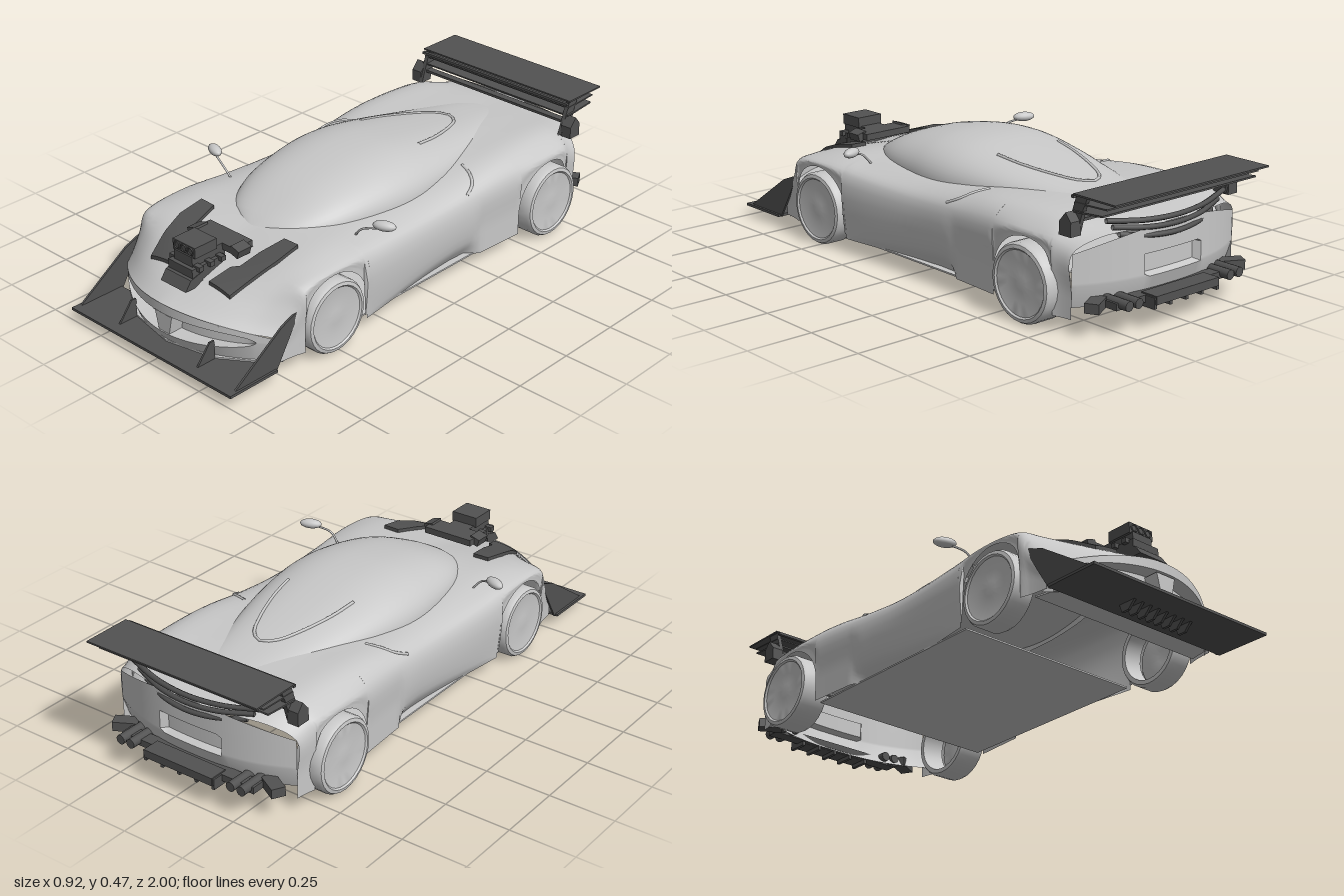
import * as THREE from 'three';
import { toCreasedNormals } from 'three/addons/utils/BufferGeometryUtils.js';

const bodyPaint = new THREE.MeshStandardMaterial({ color: 0xc8c8c8, side: THREE.DoubleSide });
bodyPaint.name = 'body grey';
const darkTrim = new THREE.MeshStandardMaterial({ color: 0x525252, side: THREE.DoubleSide });
darkTrim.name = 'dark trim';

const V = (x, y, z) => new THREE.Vector3(x, y, z);
const SIDES = [-1, 1];

// Smooth lookup in a table of [z, a, b, ...] with falling z
function sample(keys, z) {
  let i = 0;
  while (i < keys.length - 2 && z < keys[i + 1][0]) i++;
  const at = (k) => keys[Math.min(Math.max(k, 0), keys.length - 1)];
  const [p, a, b, n] = [at(i - 1), at(i), at(i + 1), at(i + 2)];
  const h = b[0] - a[0];
  const t = Math.min(Math.max((z - a[0]) / h, 0), 1);
  return a.slice(1).map((v, j) => {
    const m0 = h * (b[j + 1] - p[j + 1]) / (b[0] - p[0]);
    const m1 = h * (n[j + 1] - v) / (n[0] - a[0]);
    const t2 = t * t, t3 = t2 * t;
    return (2 * t3 - 3 * t2 + 1) * v + (t3 - 2 * t2 + t) * m0 + (3 * t2 - 2 * t3) * b[j + 1] + (t3 - t2) * m1;
  });
}

// Skin a list of equal-length point rows
function loft(rows, crease = 0) {
  const n = rows[0].length, index = [];
  for (let i = 0; i < rows.length - 1; i++) {
    for (let j = 0; j < n - 1; j++) {
      const a = i * n + j, b = a + n;
      index.push(a, b, a + 1, b, b + 1, a + 1);
    }
  }
  const g = new THREE.BufferGeometry().setFromPoints(rows.flat());
  g.setIndex(index);
  g.computeVertexNormals();
  return crease ? toCreasedNormals(g, crease) : g;
}

const mirrorRow = (half) => [...half, ...half.slice(0, -1).reverse().map((p) => V(-p.x, p.y, p.z))];
const smooth = THREE.MathUtils.smoothstep;

// Rounded plan shape of nose and tail
const noseBack = (x) => 1.2 * x * x;
const tailBack = (x) => 0.1 * Math.pow(Math.abs(x) / 0.4, 2.5);
const noseFade = (z) => smooth(z, 0.6, 0.93);

const WHEELS = [{ z: 0.513, r: 0.137, out: 0.42 }, { z: -0.636, r: 0.14, out: 0.44 }];
const ARCH = 0.162;

// z, half width, side edge height, crown x, crown height, centre height
const BODY = [
  [0.93, 0.38, 0.145, 0.30, 0.168, 0.205], [0.85, 0.388, 0.22, 0.30, 0.232, 0.245],
  [0.75, 0.395, 0.272, 0.31, 0.285, 0.28], [0.6, 0.403, 0.308, 0.32, 0.328, 0.318],
  [0.45, 0.405, 0.314, 0.32, 0.345, 0.35], [0.3, 0.40, 0.30, 0.32, 0.338, 0.36],
  [0, 0.388, 0.29, 0.33, 0.332, 0.36], [-0.2, 0.392, 0.298, 0.34, 0.342, 0.37],
  [-0.4, 0.402, 0.31, 0.345, 0.365, 0.375], [-0.6, 0.412, 0.316, 0.335, 0.372, 0.375],
  [-0.78, 0.402, 0.31, 0.32, 0.36, 0.362], [-0.92, 0.385, 0.28, 0.30, 0.33, 0.345],
];
// z, half width, base height, top height
const CANOPY = [
  [0.515, 0.02, 0.325, 0.335], [0.49, 0.09, 0.325, 0.352], [0.45, 0.155, 0.325, 0.373], [0.35, 0.222, 0.325, 0.417],
  [0.25, 0.257, 0.325, 0.447], [0.1, 0.283, 0.325, 0.472], [0, 0.29, 0.325, 0.477], [-0.1, 0.285, 0.325, 0.472],
  [-0.25, 0.26, 0.33, 0.448], [-0.4, 0.22, 0.335, 0.42], [-0.55, 0.17, 0.345, 0.393], [-0.7, 0.12, 0.35, 0.373],
  [-0.8, 0.06, 0.345, 0.356],
];

// Half a cross-section, from the sill up to the centre line
function bodyHalf(z, archZ) {
  const [w, yE, xS, yS, yC] = sample(BODY, z);
  const yb = archZ === undefined ? 0.058 : 0.14 + Math.sqrt(Math.max(0, ARCH ** 2 - (z - archZ) ** 2));
  // Tapering skirt recess along the sill
  const skirt = z < 0.36 && z > -0.26 ? Math.min((0.36 - z) / 0.5, 1) : 0;
  const inset = 0.04 * skirt * smooth(z, -0.26, -0.22);
  const y1 = skirt ? 0.075 + 0.055 * skirt : yb + (yE - yb) * 0.4;
  const curve = new THREE.CatmullRomCurve3([
    V(w - inset, yb, 0), V(w, y1, 0), V(w, yE, 0), V(xS, yS, 0), V(xS * 0.52, (yS + yC) / 2 + 0.004, 0), V(0, yC, 0),
  ], false, 'centripetal');
  const half = [];
  for (let i = 0; i <= 25; i++) {
    const p = curve.getPoint(i / 25);
    p.z = z - noseBack(p.x) * noseFade(z) + tailBack(p.x) * smooth(-z, 0.7, 0.92);
    half.push(p);
  }
  return half;
}

// Height of the bonnet or deck surface at a plan position
function deckY(x, z) {
  let station = z;
  for (let i = 0; i < 12; i++) station = z + noseBack(x) * noseFade(station);
  const half = bodyHalf(Math.min(station, 0.93));
  let k = half.length - 2;
  while (k > 0 && half[k].x <= x) k--;
  const a = half[k], b = half[k + 1];
  return a.y + (b.y - a.y) * (a.x - x) / (a.x - b.x);
}

function bodyShell() {
  const rows = [];
  const station = (z, archZ) => rows.push(mirrorRow(bodyHalf(z, archZ)));
  const run = (a, b, n) => { for (let i = 0; i <= n; i++) station(a + (b - a) * i / n); };
  const arch = (c) => { for (let i = 0; i <= 20; i++) station(c + ARCH * Math.cos(Math.PI * i / 20), c); };
  run(0.93, WHEELS[0].z + ARCH, 14);
  arch(WHEELS[0].z);
  run(WHEELS[0].z - ARCH, WHEELS[1].z + ARCH, 32);
  arch(WHEELS[1].z);
  run(WHEELS[1].z - ARCH, -0.92, 6);
  return loft(rows, 0.7);
}

function canopy() {
  const rows = [];
  for (let i = 0; i <= 50; i++) {
    const z = 0.515 - 1.315 * i / 50, [a, b, t] = sample(CANOPY, z), half = [];
    for (let j = 0; j <= 14; j++) {
      const q = Math.PI / 2 * j / 14;
      half.push(V(a * Math.pow(Math.max(0, Math.cos(q)), 0.78), b + (t - b) * Math.pow(Math.sin(q), 0.9), z));
    }
    rows.push(mirrorRow(half));
  }
  return loft(rows);
}

function canopyPoint(x, z) {
  const [a, b, t] = sample(CANOPY, z), c = Math.pow(Math.abs(x) / a, 1 / 0.78);
  return V(x, b + (t - b) * Math.pow(Math.max(0, 1 - c * c), 0.45), z);
}

// Raised bonnet vent that follows the surface: z, outer x, inner x
const VENT = [[0.8, 0.197, 0.097], [0.72, 0.222, 0.118], [0.7, 0.227, 0.145], [0.62, 0.243, 0.155], [0.52, 0.24, 0.175]];
function ventShell(s) {
  const rows = VENT.map(([z, xo, xi]) => {
    const top = [0, 0.33, 0.67, 1].map((k) => {
      const x = xo + (xi - xo) * k;
      return V(s * x, deckY(x, z) + 0.014, z);
    });
    const drop = (p) => V(p.x, p.y - 0.014, z);
    return [drop(top[0]), ...top, drop(top[3])];
  });
  const skirt = (row) => row.map((p, i) => (i % 5 ? V(p.x, p.y - 0.014, p.z) : p));
  return loft([skirt(rows[0]), ...rows, skirt(rows[4])], 0.5);
}

// Crosswise panel: each row is [height(x), depth(x)]
function crossPanel(half, zAt, rows) {
  return loft(rows.map(([y, d]) => Array.from({ length: 41 }, (_, i) => {
    const x = half * (i / 20 - 1);
    return V(x, y(x), zAt(x) + d(x));
  })), 0.6);
}

export function createModel() {
  const car = new THREE.Group();
  car.name = 'raceCar';
  const add = (name, geo, mat = bodyPaint) => {
    const m = new THREE.Mesh(geo, mat);
    m.name = name;
    car.add(m);
    return m;
  };
  const box = (name, w, h, d, x, y, z, mat = darkTrim) => {
    const m = add(name, new THREE.BoxGeometry(w, h, d), mat);
    m.position.set(x, y, z);
    return m;
  };
  const tube = (name, pts, r, mat) => add(name, new THREE.TubeGeometry(new THREE.CatmullRomCurve3(pts), 24, r, 6), mat);
  const extrude = (pts, depth) => new THREE.ExtrudeGeometry(
    new THREE.Shape(pts.map(([u, v]) => new THREE.Vector2(u, v))), { depth, bevelEnabled: false });
  // Upright plate from a (z, y) outline
  const fin = (name, pts, t, x) => {
    add(name, extrude(pts, t).rotateY(-Math.PI / 2).translate(t / 2, 0, 0), darkTrim).position.x = x;
  };

  // Body, canopy and floor
  add('bodyShell', bodyShell());
  add('canopy', canopy());
  box('floor', 0.76, 0.006, 0.83, 0, 0.06, -0.06, bodyPaint);
  const tray = extrude([[-0.37, -0.69], [0.37, -0.69], [0.35, -0.78], [0.2, -0.88], [0, -0.92], [-0.2, -0.88], [-0.35, -0.78]], 0.006);
  add('frontUndertray', tray.rotateX(-Math.PI / 2)).position.y = 0.054;
  const ridge = [[-0.145, -0.2], [-0.13, -0.3], [-0.09, -0.43], [-0.05, -0.51], [0, -0.54]];
  const ridgeAll = [...ridge, ...ridge.slice(0, -1).reverse().map(([x, z]) => [-x, z])];
  tube('roofScoopLip', ridgeAll.map(([x, z]) => canopyPoint(x, z)), 0.006, bodyPaint);

  // Nose with a lens-shaped mouth
  const lens = (x) => Math.sqrt(Math.max(0, 1 - (x / 0.32) ** 2));
  const none = () => 0, deep = (x) => -0.06 * lens(x);
  const upper = (x) => 0.135 + 0.035 * lens(x), lower = (x) => 0.13 - 0.035 * lens(x);
  add('noseFascia', crossPanel(0.38, (x) => 0.93 - noseBack(x), [
    [(x) => 0.207 - 0.06 * (x / 0.38) ** 2, none], [upper, none], [upper, deep], [lower, deep], [lower, none],
    [() => 0.052, () => -0.02],
  ]));
  add('mouthPillar', extrude([[-0.025, 0.09], [0.025, 0.09], [0.042, 0.165], [-0.042, 0.165]], 0.06)).position.z = 0.865;

  // Tail panel with plate recess
  const dent = (x) => (Math.abs(x) < 0.13 ? 0.025 : 0);
  add('tailPanel', crossPanel(0.385, (x) => -0.92 + tailBack(x), [
    [(x) => 0.346 - 0.066 * (x / 0.385) ** 2, none], [() => 0.25, none], [() => 0.24, dent], [() => 0.18, dent],
    [() => 0.17, none], [() => 0.09, () => 0.03],
  ]));

  for (const s of SIDES) {
    // Wheels: smooth dished face, hollow inside
    for (const [i, w] of WHEELS.entries()) {
      const r = w.r, d = w.out - 0.33;
      const pts = [[0.83, 0], [0.95, 0], [1, 0.012], [1, d - 0.015], [0.95, d - 0.003], [0.86, d], [0.82, d - 0.006],
        [0.5, d - 0.012], [0.2, d - 0.01], [0, d - 0.008]];
      const prof = [[0.78, d - 0.02], ...pts].map(([k, y]) => new THREE.Vector2(k * r, y));
      const m = add(i ? 'rearWheel' : 'frontWheel', toCreasedNormals(new THREE.LatheGeometry(prof, 28), 0.6));
      m.rotation.z = -s * Math.PI / 2;
      m.position.set(s * 0.33, w.r + 0.004, w.z);
    }

    // Mirrors
    tube('mirrorStalk', [V(s * 0.3, 0.325, 0.31), V(s * 0.345, 0.375, 0.315), V(s * 0.41, 0.395, 0.295)], 0.004, bodyPaint);
    const mirror = add('mirror', new THREE.SphereGeometry(1, 16, 10));
    mirror.scale.set(0.043, 0.018, 0.022);
    mirror.position.set(s * 0.42, 0.403, 0.285);
    mirror.rotation.y = s * 0.4;

    // Inlet lip on the rear haunch
    const lip = [[0.38, -0.2], [0.36, -0.25], [0.32, -0.28], [0.27, -0.3]];
    tube('sideInletLip', lip.map(([x, z]) => V(s * x, deckY(x, z), z)), 0.006, bodyPaint);

    // Bonnet vents
    add('bonnetVent', ventShell(s), darkTrim);

    // Splitter end plates and stays
    fin('splitterEndPlate', [[0.97, 0.055], [0.755, 0.2], [0.665, 0.235], [0.71, 0.16], [0.78, 0.045]], 0.008, s * 0.39);
    fin('splitterStay', [[0.96, 0.05], [0.9, 0.125], [0.88, 0.125], [0.88, 0.05]], 0.007, s * 0.197);

    // Wing supports
    fin('wingSupport', [[-0.775, 0.345], [-0.82, 0.475], [-0.87, 0.475], [-0.85, 0.43], [-0.825, 0.345]], 0.016, s * 0.35);
    fin('wingMount', [[-0.78, 0.34], [-0.78, 0.385], [-0.81, 0.42], [-0.835, 0.39], [-0.835, 0.34]], 0.045, s * 0.375);

    // Exhaust pairs
    for (const x of [0.22, 0.265]) {
      const pipe = add('exhaustPipe', new THREE.CylinderGeometry(0.018, 0.018, 0.12, 12), darkTrim);
      pipe.rotation.x = Math.PI / 2;
      pipe.position.set(s * x, 0.115, -0.915);
    }
    const end = box('diffuserEnd', 0.09, 0.035, 0.05, s * 0.325, 0.11, -0.88);
    end.rotation.y = s * 0.5;
  }

  // Front splitter with small strakes below
  box('splitter', 0.805, 0.01, 0.215, 0, 0.049, 0.8925);
  for (let i = 0; i < 8; i++) fin('splitterStrake', [[0.91, 0.045], [0.88, 0.015], [0.85, 0.015], [0.84, 0.045]], 0.01, (i - 3.5) * 0.0375);

  // Rear wing blades
  box('wingTop', 0.73, 0.006, 0.19, 0, 0.474, -0.905);
  box('wingMiddle', 0.72, 0.005, 0.15, 0, 0.449, -0.885).rotation.x = 0.04;
  box('wingLower', 0.73, 0.006, 0.14, 0, 0.422, -0.875).rotation.x = 0.08;
  box('wingBar', 0.72, 0.01, 0.03, 0, 0.388, -0.815);
  box('wingLeadingEdge', 0.72, 0.01, 0.012, 0, 0.464, -0.802);

  // Curved tail slats
  [0.305, 0.335, 0.362].forEach((y, i) => {
    const h = 0.22 + 0.03 * i;
    tube('tailSlat', [-1, -0.5, 0, 0.5, 1].map((k) => V(k * h, y + 0.02 * k * k, -0.925 + 0.05 * k * k)), 0.01, darkTrim);
  });

  // Diffuser
  box('diffuserBar', 0.58, 0.025, 0.05, 0, 0.108, -0.915);
  box('diffuserCentre', 0.3, 0.03, 0.07, 0, 0.11, -0.95);
  for (let i = -2; i <= 2; i++) box('diffuserStrake', 0.012, 0.04, 0.08, i * 0.075, 0.1, -0.94);

  // Exposed engine through the bonnet
  box('engineBlock', 0.12, 0.05, 0.15, 0, 0.295, 0.765);
  fin('engineFront', [[0.79, 0.3], [0.85, 0.285], [0.875, 0.25], [0.8, 0.25]], 0.125, 0);
  box('blower', 0.09, 0.045, 0.15, 0, 0.335, 0.75);
  box('intakePlenum', 0.21, 0.025, 0.085, 0, 0.345, 0.645);
  box('intakeScoop', 0.11, 0.04, 0.1, 0, 0.373, 0.77);
  for (const x of [-0.033, 0, 0.033]) {
    const ring = add('scoopRing', new THREE.TorusGeometry(0.013, 0.003, 6, 14), darkTrim);
    ring.position.set(x, 0.375, 0.821);
  }
  for (const s of SIDES) {
    box('intakeEnd', 0.04, 0.03, 0.06, s * 0.105, 0.345, 0.66).rotation.z = -s * 0.3;
    for (let i = 0; i < 3; i++) box('enginePort', 0.03, 0.018, 0.02, s * 0.06, 0.318, 0.71 + 0.05 * i);
  }
  return car;
}
